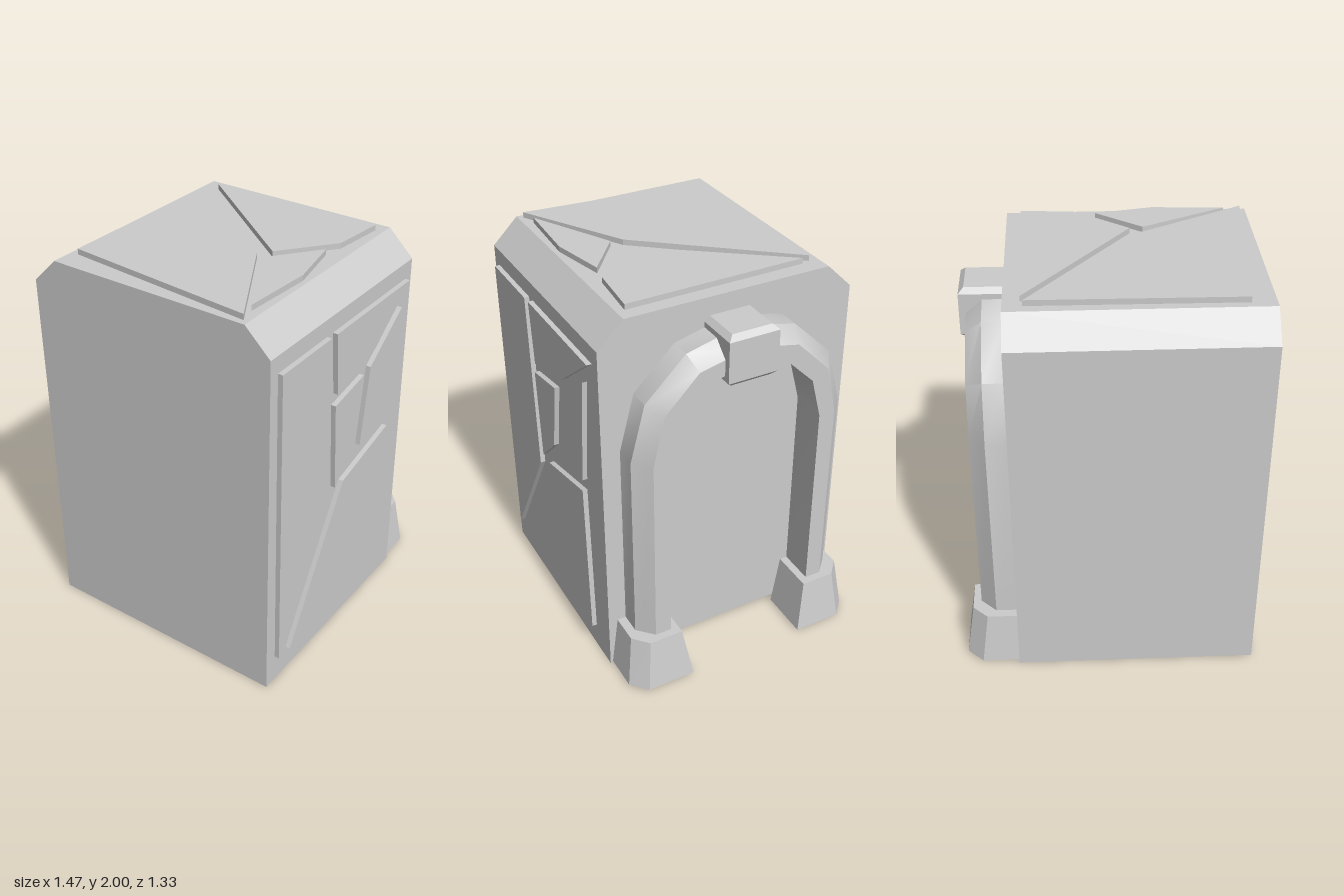
import * as THREE from 'three';
import { toCreasedNormals } from 'three/addons/utils/BufferGeometryUtils.js';

const material = new THREE.MeshStandardMaterial({ color: 0xcccccc, flatShading: true, side: THREE.DoubleSide });
const smoothMaterial = new THREE.MeshStandardMaterial({ color: 0xcccccc, side: THREE.DoubleSide });

const LEFT = -0.735, RIGHT = 0.465; // side walls of the body
const MID_Z = -0.013;               // centre line of the pipe fittings

// Skin between successive rings of [x, y, z] points, with optional end caps
function loft(rings, { closed = false, bottom = false, top = false } = {}) {
  const pos = [];
  const tri = (a, b, c) => pos.push(...a, ...b, ...c);
  const n = rings[0].length;
  for (let i = 0; i < rings.length - 1; i++) {
    for (let j = 0; j < (closed ? n : n - 1); j++) {
      const k = (j + 1) % n;
      tri(rings[i][j], rings[i][k], rings[i + 1][k]);
      tri(rings[i][j], rings[i + 1][k], rings[i + 1][j]);
    }
  }
  const first = rings[0], last = rings[rings.length - 1];
  for (let j = 1; j < n - 1; j++) {
    if (bottom) tri(first[0], first[j + 1], first[j]);
    if (top) tri(last[0], last[j], last[j + 1]);
  }
  const g = new THREE.BufferGeometry();
  g.setAttribute('position', new THREE.Float32BufferAttribute(pos, 3));
  g.computeVertexNormals();
  return g;
}

const shapeOf = (pts) => new THREE.Shape(pts.map(([x, y]) => new THREE.Vector2(x, y)));

export function createModel() {
  const root = new THREE.Group();
  const add = (name, geometry, mat = material, parent = root) => {
    const mesh = new THREE.Mesh(geometry, mat);
    mesh.name = name;
    parent.add(mesh);
    return mesh;
  };

  // Hollow body, open underneath, with chamfered top edges: profile in (z, y)
  const profile = [[0.64, 0], [0.64, 1.845], [0.51, 1.972], [-0.535, 1.972], [-0.665, 1.845], [-0.665, 0]];
  add('bodyShell', loft([RIGHT, LEFT].map((x) => profile.map(([z, y]) => [x, y, z]))));

  // Side walls; the right one has a low gap between the feet
  const wall = (pts, turn) => new THREE.ShapeGeometry(shapeOf(pts)).rotateY(turn);
  add('leftWall', wall(profile, -Math.PI / 2)).position.x = LEFT;
  const notch = [[-0.55, 0], [-0.55, 0.05], [0.53, 0.05], [0.53, 0]];
  add('rightWall', wall([...profile, ...notch].map(([z, y]) => [-z, y]), Math.PI / 2)).position.x = RIGHT;

  // Broken armour plates, set deep into the shell and slightly proud of it
  const depth = 0.23;
  const plate = (pts) => new THREE.ExtrudeGeometry(shapeOf(pts), { depth, bevelEnabled: false });

  const frontPlates = new THREE.Group();
  frontPlates.name = 'frontPlates';
  frontPlates.position.z = 0.665 - depth;
  root.add(frontPlates);
  [
    [[-0.68, 1.76], [-0.295, 1.76], [-0.255, 0.82], [-0.665, 0.15]],
    [[-0.25, 1.76], [0.41, 1.76], [0.11, 1.525], [-0.22, 1.435]],
    [[-0.235, 1.38], [0.015, 1.425], [-0.045, 1.06], [-0.205, 0.905]],
    [[0.35, 1.64], [0.29, 1.065], [0.015, 1.03], [0.075, 1.44]],
    [[-0.13, 0.9], [0.285, 1.0], [0.31, 0.14], [-0.57, 0.14]],
  ].forEach((pts) => add('frontPlate', plate(pts), material, frontPlates));

  // Top plates are given in (x, z)
  const topPlates = new THREE.Group();
  topPlates.name = 'topPlates';
  topPlates.position.y = 2 - depth;
  root.add(topPlates);
  [
    [[-0.62, -0.495], [0.375, -0.485], [-0.185, 0.19], [-0.705, 0.485]],
    [[-0.2, 0.25], [0.025, 0.425], [-0.26, 0.485], [-0.62, 0.465]],
    [[0.385, -0.445], [0.395, 0.47], [0.12, 0.445], [-0.135, 0.24]],
  ].forEach((pts) => add('topPlate',
    plate(pts.map(([x, z]) => [x, -z])).rotateX(-Math.PI / 2), material, topPlates));

  // Arched pipe: outer, middle and inner edge as [z, y] at each station of one half
  const half = [
    [[0.56, 0.01], [0.485, 0.01], [0.4, 0.01]],
    [[0.56, 1.3], [0.485, 1.3], [0.4, 1.3]],
    [[0.485, 1.59], [0.43, 1.55], [0.345, 1.51]],
    [[0.28, 1.79], [0.255, 1.728], [0.195, 1.66]],
    [[0, 1.86], [0, 1.785], [0, 1.705]],
  ];
  const mirrored = half.slice(0, -1).reverse().map((s) => s.map(([z, y]) => [-z, y]));
  const pipeRings = [...half, ...mirrored].map(([o, m, i]) =>
    [[RIGHT, o], [0.572, o], [0.65, m], [0.65, i], [RIGHT, i]].map(([x, [z, y]]) => [x, y, z + MID_Z]));
  add('archedPipe', toCreasedNormals(loft(pipeRings), 0.68), smoothMaterial);

  // Flared pipe feet, hollow underneath
  const footRing = (y, x1, x2, outer, corner, inner) =>
    [[RIGHT, outer], [x1, outer], [x2, corner], [x2, inner], [RIGHT, inner]].map(([x, z]) => [x, y, z]);
  for (const s of [1, -1]) {
    const rings = [footRing(0.01, 0.65, 0.73, 0.64, 0.565, 0.315), footRing(0.283, 0.615, 0.69, 0.605, 0.535, 0.36)]
      .map((r) => {
        const m = r.map(([x, y, z]) => [x, y, s * z + MID_Z]);
        return s > 0 ? m : m.reverse();
      });
    add(s > 0 ? 'frontFoot' : 'backFoot', loft(rings, { top: true }));
  }

  // Clamp block over the crown of the arch, bevelled above and below
  const clampRing = (y, inset) => {
    const x = 0.682 - inset, w = 0.128 - inset;
    return [[RIGHT, w], [x, w], [x, -w], [RIGHT, -w]].map(([px, z]) => [px, y, z + MID_Z]);
  };
  add('pipeClamp', loft(
    [clampRing(1.622, 0.026), clampRing(1.648, 0), clampRing(1.855, 0), clampRing(1.88, 0.026)],
    { closed: true, bottom: true, top: true }));

  return root;
}
